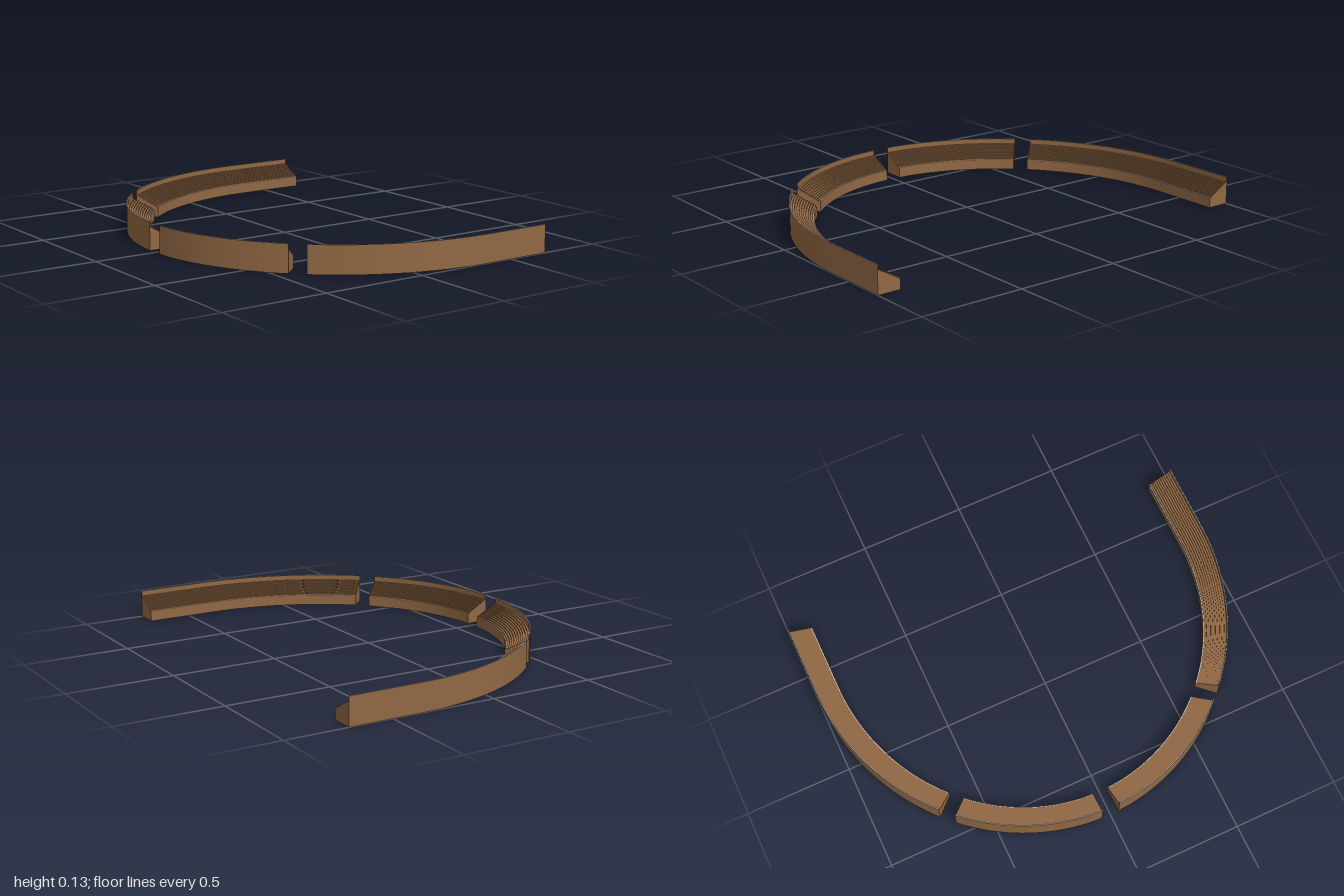
import * as THREE from 'three';

const brown = new THREE.MeshStandardMaterial({ color: 0x916843 });
brown.name = 'brown';
const pale = new THREE.MeshStandardMaterial({ color: 0xd6d4d0 });
pale.name = 'pale trim';

// Cross-section: u = distance inward from the outer wall, v = height
const DEPTH = 0.11, TRIM = 0.005, WALL = 0.13, LOW = 0.05, HIGH = 0.105, ROWS = 10;
function makeProfile() {
  const p = [[0, 0], [DEPTH, 0], [DEPTH, LOW], [DEPTH - TRIM, LOW]];
  const run = (DEPTH - 2 * TRIM) / ROWS, rise = (HIGH - LOW) / ROWS;
  for (let i = 0; i < ROWS; i++) {
    const u = DEPTH - TRIM - i * run, v = LOW + (i + 1) * rise;
    p.push([u, v], [u - run, v]);
  }
  p.push([TRIM, WALL], [0, WALL]);
  return p.map(([u, v]) => new THREE.Vector2(u, v));
}

// Plan of the outer wall: straight leg, then an elliptical bowl
const CZ = -0.37, BZ = 1.075, BACK = -0.705;
function arc(t0, t1, n) {
  const out = [];
  for (let i = 0; i <= n; i++) {
    const t = t0 + (t1 - t0) * i / n;
    const nx = Math.cos(t), nz = Math.sin(t) / BZ, l = Math.hypot(nx, nz);
    out.push({ x: Math.cos(t), z: CZ + BZ * Math.sin(t), nx: nx / l, nz: nz / l });
  }
  return out;
}
const mirror = path => path.map(p => ({ x: -p.x, z: p.z, nx: -p.nx, nz: p.nz })).reverse();

// Sweep the section along a path; each section edge is its own strip, so steps stay sharp
function sweep(path, profile) {
  const pos = [], index = [], geo = new THREE.BufferGeometry();
  const add = (s, q) => {
    pos.push(s.x - s.nx * q.x, q.y, s.z - s.nz * q.x);
    return pos.length / 3 - 1;
  };
  const n = profile.length;
  const strip = i => {
    const a = profile[i], b = profile[(i + 1) % n];
    const base = pos.length / 3;
    path.forEach(s => { add(s, a); add(s, b); });
    for (let k = 0; k < path.length - 1; k++) {
      const A = base + 2 * k, B = A + 1, D = A + 2, C = A + 3;
      index.push(A, D, B, D, C, B);
    }
  };
  const trims = [2, n - 2];
  for (let i = 0; i < n; i++) if (!trims.includes(i)) strip(i);
  // End faces
  const tris = THREE.ShapeUtils.triangulateShape(profile, []);
  [path[0], path[path.length - 1]].forEach((s, end) => {
    const base = pos.length / 3;
    profile.forEach(q => add(s, q));
    tris.forEach(([a, b, c]) => end
      ? index.push(base + a, base + c, base + b)
      : index.push(base + a, base + b, base + c));
  });
  const split = index.length;
  trims.forEach(strip);
  geo.setAttribute('position', new THREE.Float32BufferAttribute(pos, 3));
  geo.setIndex(index);
  geo.addGroup(0, split, 0);
  geo.addGroup(split, index.length - split, 1);
  geo.computeVertexNormals();
  return geo;
}

export function createModel() {
  const group = new THREE.Group();
  group.name = 'steppedGrandstand';
  const profile = makeProfile();
  const side = [{ x: 1, z: BACK, nx: 1, nz: 0 }, ...arc(0, Math.acos(0.71), 24)];
  const front = arc(Math.acos(0.655), Math.acos(0.042), 20);
  const parts = {
    leftSideStand: side, leftFrontStand: front,
    rightFrontStand: mirror(front), rightSideStand: mirror(side),
  };
  for (const [name, path] of Object.entries(parts)) {
    const mesh = new THREE.Mesh(sweep(path, profile), [brown, pale]);
    mesh.name = name;
    group.add(mesh);
  }
  return group;
}
